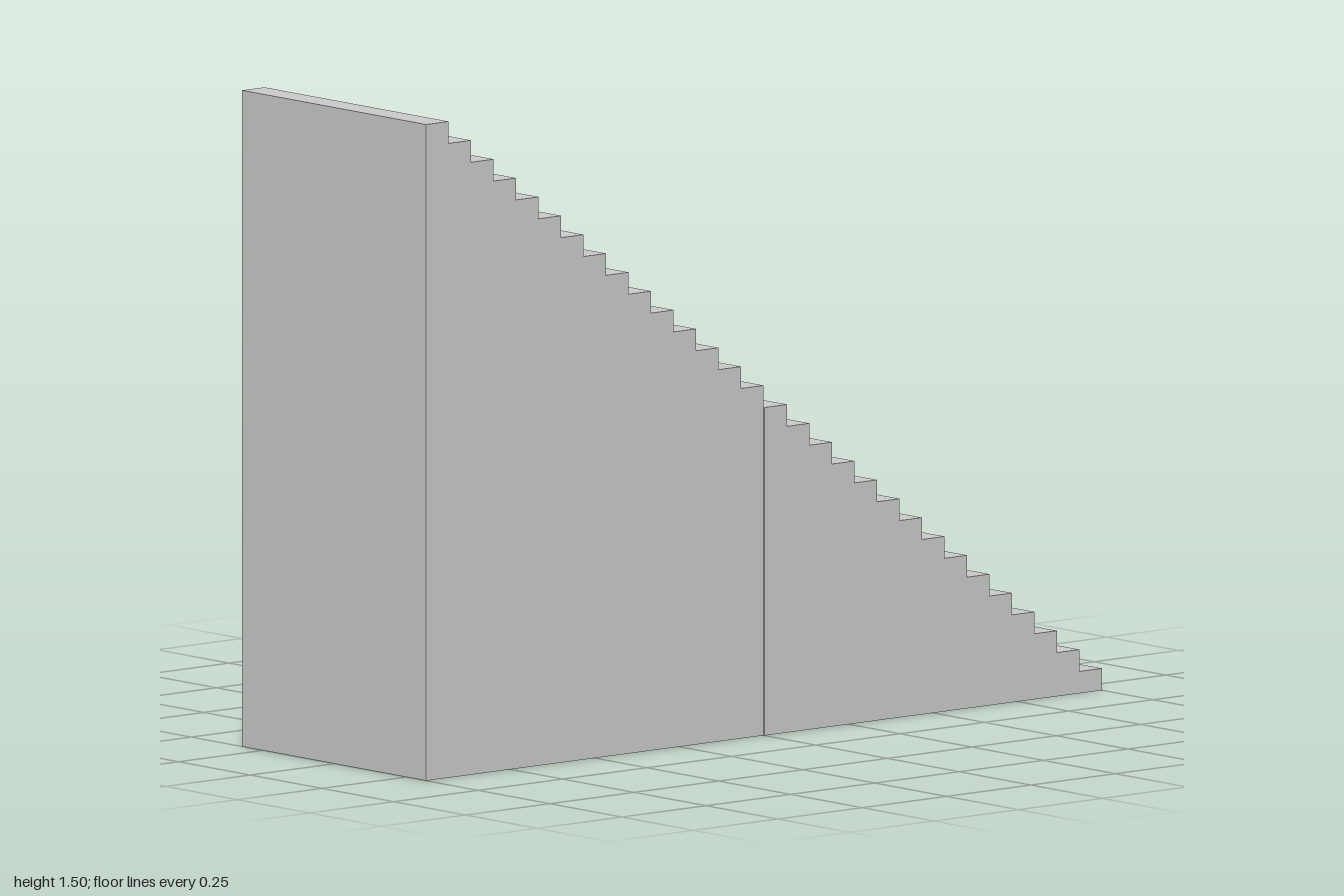
import * as THREE from 'three';

const STEPS = 30, RUN = 2 / STEPS, RISE = 0.05, WIDTH = 0.642;

// Solid flight of steps climbing towards -x, from step index `first` up to `last`
function flight(name, first, last, zCentre, material) {
  const shape = new THREE.Shape();
  const right = 1 - first * RUN, left = 1 - last * RUN;
  shape.moveTo(left, 0);
  shape.lineTo(right, 0);
  for (let i = first; i < last; i++) {
    const top = (i + 1) * RISE;
    shape.lineTo(1 - i * RUN, top);
    shape.lineTo(1 - (i + 1) * RUN, top);
  }
  shape.closePath();
  const geometry = new THREE.ExtrudeGeometry(shape, { depth: WIDTH, bevelEnabled: false });
  geometry.translate(0, 0, zCentre - WIDTH / 2);
  const mesh = new THREE.Mesh(geometry, material);
  mesh.name = name;
  return mesh;
}

export function createModel() {
  const group = new THREE.Group();
  group.name = 'staircase';
  const material = new THREE.MeshStandardMaterial({ color: 0xcccccc, flatShading: true });
  // Two flights, sitting a hair out of line with each other
  group.add(flight('lowerFlight', 0, STEPS / 2, 0.001, material));
  group.add(flight('upperFlight', STEPS / 2, STEPS, -0.002, material));
  return group;
}
